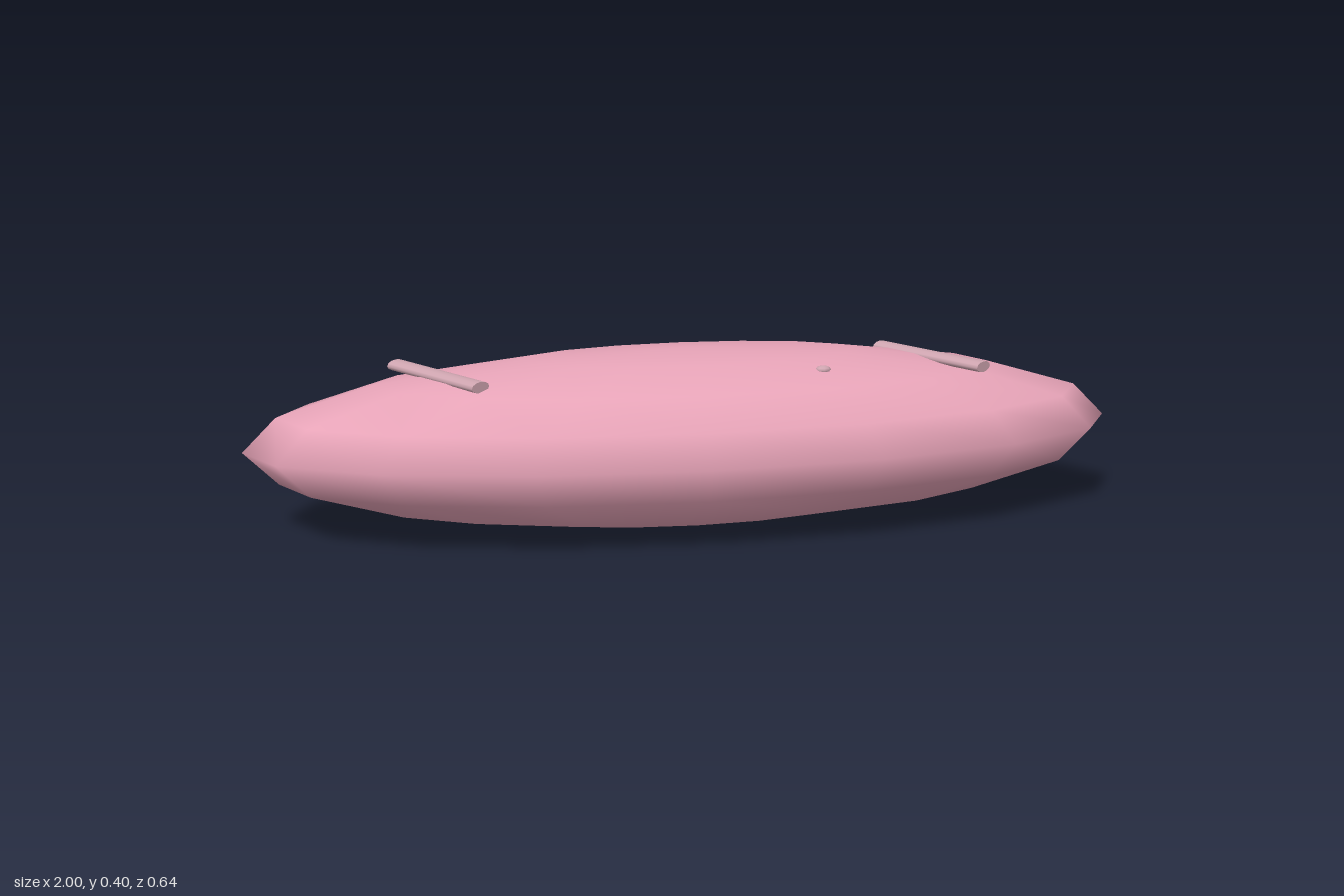
import * as THREE from 'three';

export function createModel() {
  const group = new THREE.Group();
  const pink = new THREE.MeshStandardMaterial({ color: 0xe6a3b7 });
  pink.name = 'pink';
  const dustyPink = new THREE.MeshStandardMaterial({ color: 0xcfa5b0 });
  dustyPink.name = 'dusty pink';

  const add = (name, geometry, material, x, y, z) => {
    const mesh = new THREE.Mesh(geometry, material);
    mesh.name = name;
    mesh.position.set(x, y, z);
    group.add(mesh);
    return mesh;
  };

  // Long flattened body
  const bodyGeometry = new THREE.SphereGeometry(1, 16, 8).scale(1, 0.2, 0.32);
  add('body', bodyGeometry, pink, 0, 0.2, 0);

  // Two slanted, flattened rods sunk into the top
  const rodGeometry = new THREE.CylinderGeometry(0.024, 0.024, 0.305, 12)
    .rotateX(Math.PI / 2)
    .scale(1, 0.52, 1);
  for (const side of [-1, 1]) {
    const rod = add(side > 0 ? 'leftRod' : 'rightRod', rodGeometry, dustyPink, side * 0.567, 0.36, 0.012);
    rod.rotation.y = 0.607;
  }

  // Tiny nub just breaking the surface
  const nubGeometry = new THREE.SphereGeometry(0.018, 8, 6).scale(1, 0.5, 0.8);
  add('nub', nubGeometry, dustyPink, 0.283, 0.367, 0.13);

  return group;
}
